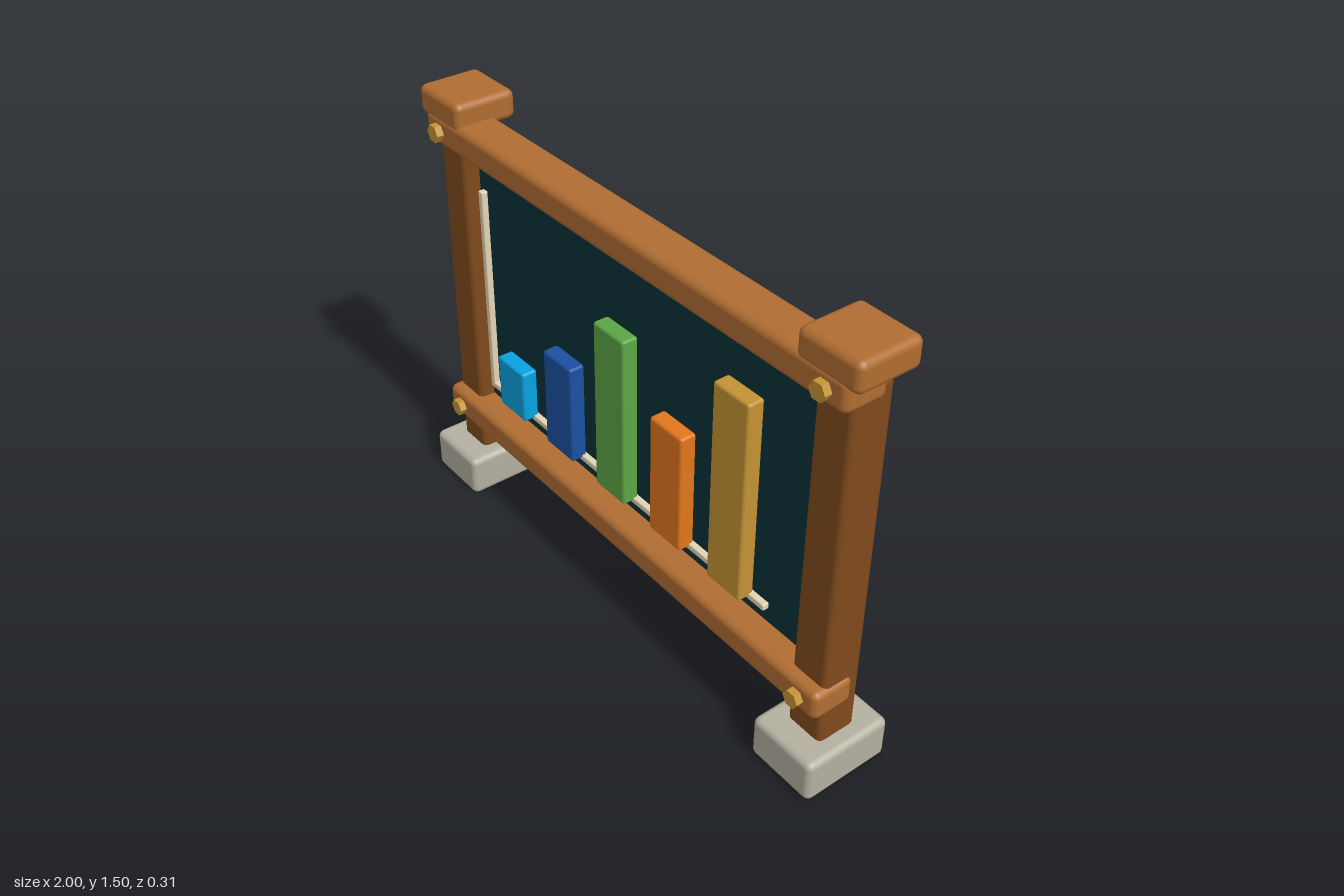
import * as THREE from 'three';
import { RoundedBoxGeometry } from 'three/addons/geometries/RoundedBoxGeometry.js';

const mat = (name, color) => {
  const m = new THREE.MeshStandardMaterial({ color });
  m.name = name;
  return m;
};

export function createModel() {
  const model = new THREE.Group();
  model.name = 'chartBoard';

  const lightWood = mat('light wood', 0xb06d32);
  const darkWood = mat('dark wood', 0x804a1c);
  const stone = mat('stone', 0xb4b0a1);
  const slate = mat('slate', 0x083139);
  const cream = mat('cream', 0xe4d5b4);
  const gold = mat('gold', 0xc49234);

  // Rounded block given by its min and max corners
  function block(name, material, [x0, y0, z0], [x1, y1, z1], radius) {
    const geometry = new RoundedBoxGeometry(x1 - x0, y1 - y0, z1 - z0, 3, radius);
    const mesh = new THREE.Mesh(geometry, material);
    mesh.name = name;
    mesh.position.set((x0 + x1) / 2, (y0 + y1) / 2, (z0 + z1) / 2);
    model.add(mesh);
  }

  // Posts with stone feet and caps
  for (const [side, s] of [['left', 1], ['right', -1]]) {
    const x = s * 0.876;
    block(side + 'Foot', stone, [x - 0.124, 0.0005, -0.156], [x + 0.124, 0.15, 0.156], 0.022);
    block(side + 'Post', darkWood, [x - 0.068, 0, -0.07], [x + 0.068, 1.378, 0.07], 0.02);
    block(side + 'Cap', lightWood, [x - 0.112, 1.402, -0.109], [x + 0.112, 1.5, 0.109], 0.024);
  }

  // Cross rails, each with a hexagonal bolt at either end
  const boltGeometry = new THREE.CylinderGeometry(0.03, 0.03, 0.06, 6).toNonIndexed();
  boltGeometry.rotateY(Math.PI / 6);
  boltGeometry.rotateX(Math.PI / 2);
  boltGeometry.computeVertexNormals();
  for (const [name, y] of [['lower', 0.316], ['upper', 1.378]]) {
    block(name + 'Rail', lightWood, [-0.954, y - 0.051, -0.036], [0.954, y + 0.051, 0.111], 0.024);
    for (const [side, s] of [['Left', 1], ['Right', -1]]) {
      const bolt = new THREE.Mesh(boltGeometry, gold);
      bolt.name = name + side + 'Bolt';
      bolt.position.set(s * 0.876, y - 0.002, 0.105);
      model.add(bolt);
    }
  }

  // Slate panel, recessed behind the posts' front faces
  block('panel', slate, [-0.825, 0.316, -0.0695], [0.825, 1.378, 0.015], 0.018);

  // Chart axes, standing clear of the panel
  block('verticalAxis', cream, [-0.702, 0.49, 0.066], [-0.679, 1.236, 0.089], 0.005);
  block('horizontalAxis', cream, [-0.698, 0.49, 0.066], [0.698, 0.513, 0.089], 0.005);

  // Chart bars: name, material, top height
  const bars = [
    ['skyBar', mat('sky blue', 0x08a2e0), 0.689],
    ['blueBar', mat('deep blue', 0x1c50a2), 0.855],
    ['greenBar', mat('green', 0x5ca646), 1.099],
    ['orangeBar', mat('orange', 0xe2761c), 0.915],
    ['goldBar', gold, 1.19],
  ];
  bars.forEach(([name, material, top], i) => {
    const x = -0.514 + 0.269 * i;
    block(name, material, [x - 0.073, 0.5, 0.07], [x + 0.073, top, 0.126], 0.01);
  });

  return model;
}
